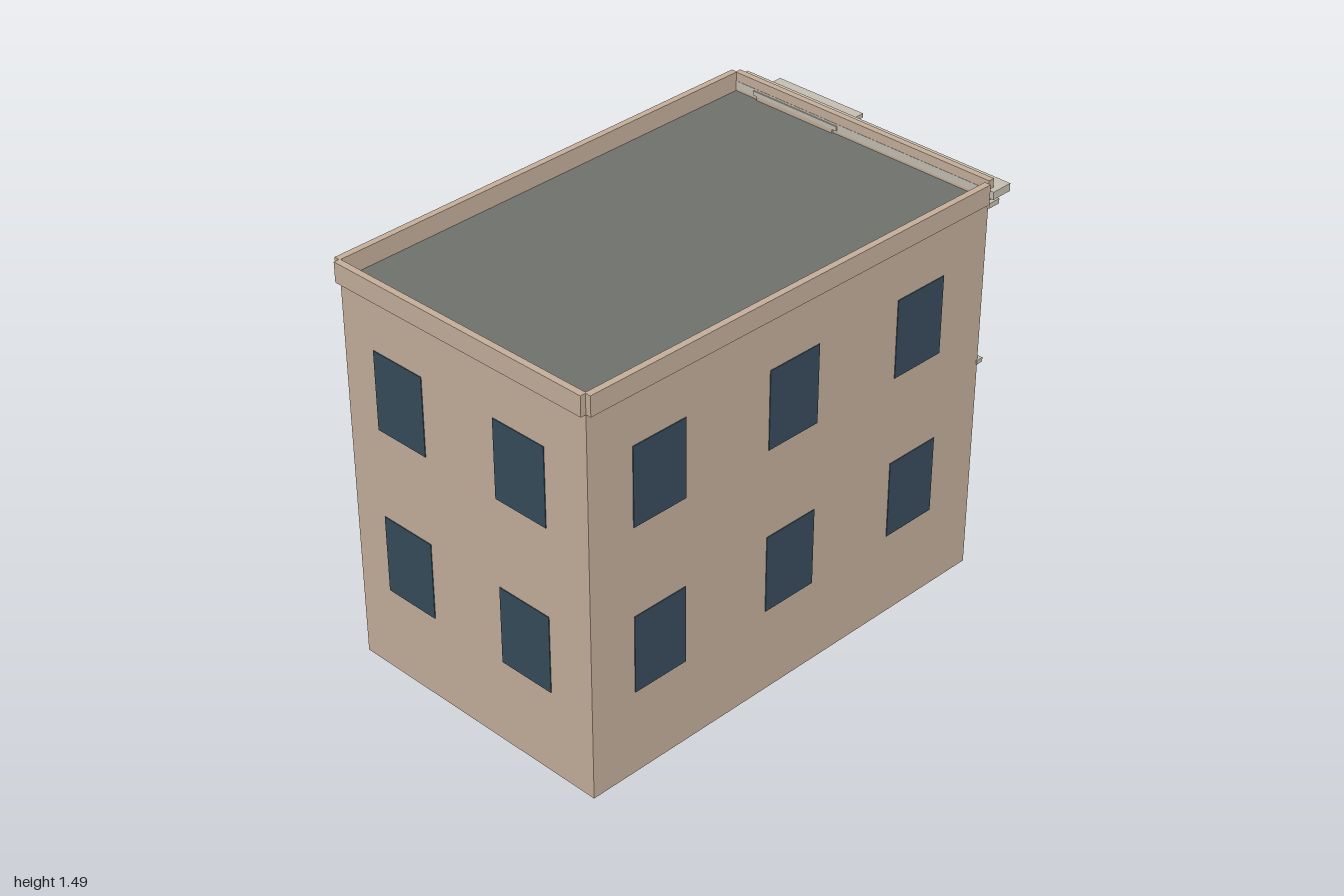
import * as THREE from 'three';

const mat = (color) => {
  const m = new THREE.MeshStandardMaterial();
  m.color.set(color);
  return m;
};

export function createModel() {
  const model = new THREE.Group();
  model.name = 'townhouse';
  const wall = mat(0xc2ad99), trim = mat(0xc4bdb0), roof = mat(0x6e716b);
  const pane = mat(0x364b5b), sheen = mat(0x768d9c), doorMat = mat(0x2c404b), doorPane = mat(0x364f60);
  const wallTop = 1.418, top = 1.487;

  // Footprint corners as [x, z]
  const FL = [-0.813, 0.67], FR = [0.917, 0.43], BR = [0.749, -0.655], BL = [-0.98, -0.375];

  // Building body: plastered sides, grey roof and base
  const plan = new THREE.Shape([FL, FR, BR, BL].map(([x, z]) => new THREE.Vector2(x, -z)));
  const bodyGeo = new THREE.ExtrudeGeometry(plan, { depth: wallTop, bevelEnabled: false });
  bodyGeo.rotateX(-Math.PI / 2);
  const body = new THREE.Mesh(bodyGeo, [roof, wall]);
  body.name = 'body';
  model.add(body);

  // A wall frame: x runs along the wall, y up, z outward
  function wallFrame(name, P, Q) {
    const g = new THREE.Group();
    const dx = Q[0] - P[0], dz = Q[1] - P[1];
    g.name = name;
    g.position.set(P[0], 0, P[1]);
    g.rotation.y = Math.atan2(-dz, dx);
    g.userData.length = Math.hypot(dx, dz);
    model.add(g);
    return g;
  }

  // Box given by its extents in the wall frame
  function slab(parent, name, material, x0, x1, y0, y1, z0, z1) {
    const m = new THREE.Mesh(new THREE.BoxGeometry(x1 - x0, y1 - y0, z1 - z0), material);
    m.position.set((x0 + x1) / 2, (y0 + y1) / 2, (z0 + z1) / 2);
    m.name = name;
    parent.add(m);
  }

  const front = wallFrame('frontWall', FL, FR);
  const facade = wallFrame('facade', FR, BR);
  const back = wallFrame('backWall', BR, BL);
  const left = wallFrame('leftWall', BL, FL);

  // Parapet strips, unmitred at the corners
  for (const g of [front, facade, back, left]) {
    const end = g.userData.length - (g === front ? 0.02 : 0);
    slab(g, 'parapet', wall, 0, end, wallTop - 0.003, top, -0.004, 0.02);
  }

  // Plain windows in two rows
  const rows = [[0.318, 0.607], [0.936, 1.224]];
  function plainWindows(g, places, skip) {
    rows.forEach(([y0, y1], r) => places.forEach((t, i) => {
      if (skip && r === 0 && i === 0) return;
      const c = t * g.userData.length;
      slab(g, 'plainWindow', pane, c - 0.108, c + 0.108, y0, y1, -0.01, 0.003);
    }));
  }
  plainWindows(front, [0.164, 0.492, 0.822]);
  plainWindows(back, [0.165, 0.498, 0.831], true);
  plainWindows(left, [0.23, 0.73]);

  // Sash window with head, jambs, sill and glazing bars
  function sashWindow(c, y0, width, depth) {
    const g = new THREE.Group();
    g.name = 'sashWindow';
    g.position.set(c, y0, depth);
    facade.add(g);
    const h = width / 2, H = 0.292, mid = 0.156;
    slab(g, 'glass', pane, -h, h, 0, H, -0.01, 0.004);
    slab(g, 'upperSash', sheen, -h + 0.011, h - 0.011, mid + 0.006, H - 0.011, 0, 0.007);
    slab(g, 'meetingRail', trim, -h, h, mid - 0.006, mid + 0.006, 0, 0.012);
    slab(g, 'glazingBar', trim, -0.006, 0.006, 0, H, 0, 0.012);
    for (const s of [-1, 1]) {
      const x = s * (h + 0.006);
      slab(g, 'jamb', trim, x - 0.007, x + 0.007, 0, H, 0, 0.018);
    }
    slab(g, 'head', trim, -h - 0.017, h + 0.017, H, H + 0.014, 0, 0.022);
    slab(g, 'sill', trim, -h - 0.022, h + 0.022, -0.017, 0, 0, 0.04);
  }
  sashWindow(0.27, 0.32, 0.226, 0);
  sashWindow(0.27, 0.93, 0.226, 0);

  // Projecting bay with its crown
  slab(facade, 'bay', wall, 0.655, 0.994, 0.832, 1.432, -0.01, 0.105);
  slab(facade, 'bayCrown', trim, 0.637, 1.01, 1.432, 1.448, -0.01, 0.125);
  sashWindow(0.825, 0.93, 0.28, 0.105);

  // Door and step
  slab(facade, 'door', doorMat, 0.886, 1.054, 0.302, 0.659, -0.01, 0.006);
  slab(facade, 'doorPane', doorPane, 0.922, 1.019, 0.418, 0.607, 0, 0.009);
  slab(facade, 'doorStep', trim, 0.867, 1.072, 0.286, 0.303, -0.01, 0.1);

  // String course, cornice and brackets
  const L = facade.userData.length;
  slab(facade, 'stringCourse', trim, -0.004, L + 0.002, 0.804, 0.82, -0.005, 0.022);
  slab(facade, 'cornice', trim, -0.022, L + 0.02, 1.427, 1.455, -0.005, 0.078);
  slab(facade, 'corniceBand', trim, -0.008, L, 1.39, 1.408, -0.005, 0.045);
  for (let i = 0; i < 8; i++) {
    const c = 0.168 + i * 0.122;
    slab(facade, 'bracket', trim, c - 0.013, c + 0.013, 1.344, 1.39, -0.005, 0.036);
  }
  return model;
}
